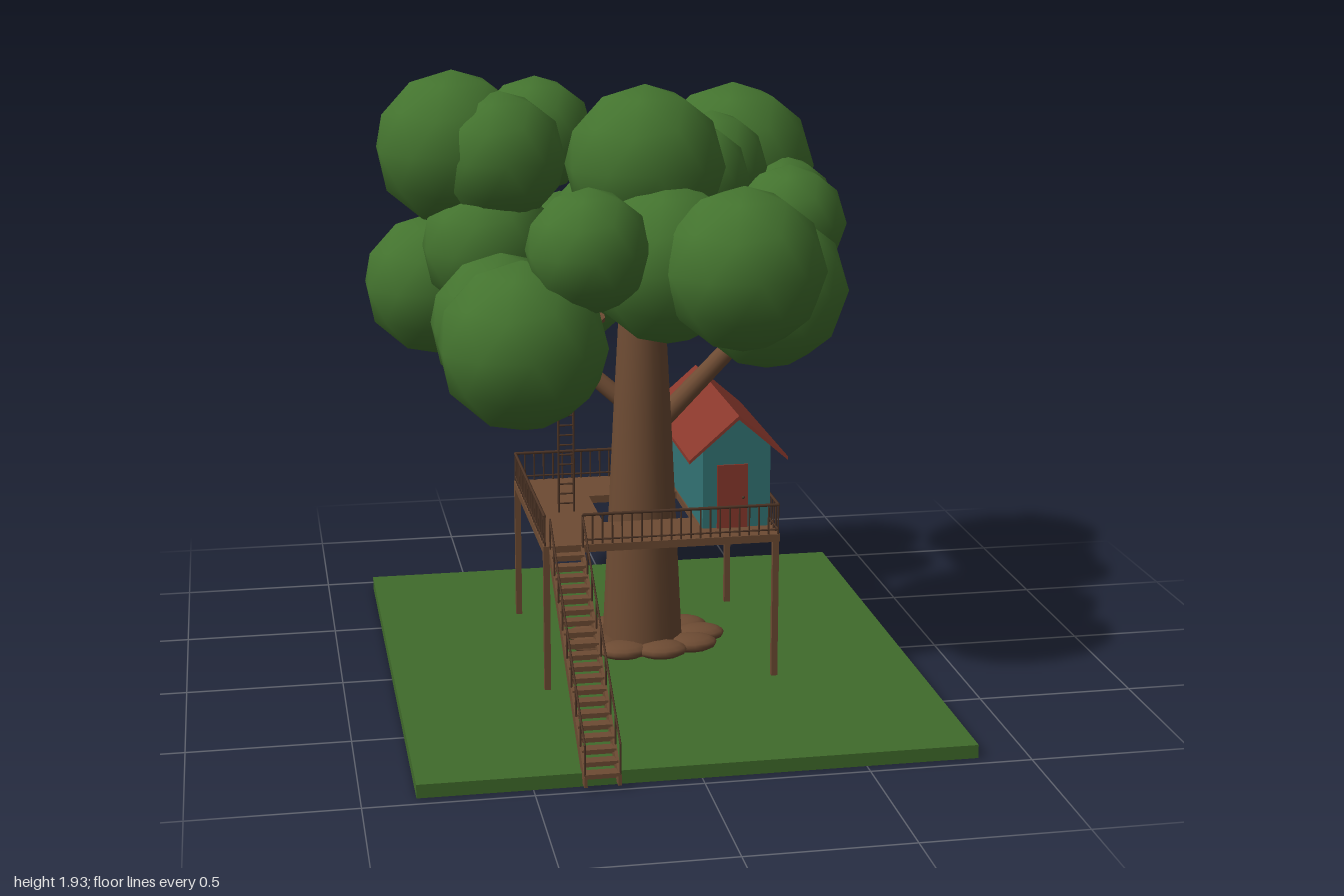
import * as THREE from 'three';

export function createModel() {
  const model = new THREE.Group();
  model.name = 'treehouse';

  const mat = (name, color, side = THREE.FrontSide) => {
    const m = new THREE.MeshStandardMaterial({ color, side });
    m.name = name;
    return m;
  };
  const leaf = mat('leaf green', 0x44742f);
  const grass = mat('grass green', 0x406b2b);
  const wood = mat('bark brown', 0x6d4b33);
  const darkWood = mat('dark wood', 0x4e3526);
  const teal = mat('teal paint', 0x337475);
  const red = mat('red paint', 0x8a382c);
  const glass = mat('pale glass', 0xabc2ce);

  const group = (name) => {
    const g = new THREE.Group();
    g.name = name;
    model.add(g);
    return g;
  };
  const add = (parent, name, geo, material, x = 0, y = 0, z = 0) => {
    const m = new THREE.Mesh(geo, material);
    m.name = name;
    m.position.set(x, y, z);
    parent.add(m);
    return m;
  };
  // Box given by its minimum and maximum corners
  const box = (parent, name, material, x0, x1, y0, y1, z0, z1) =>
    add(parent, name, new THREE.BoxGeometry(x1 - x0, y1 - y0, z1 - z0), material,
      (x0 + x1) / 2, (y0 + y1) / 2, (z0 + z1) / 2);
  // Round bar between two points
  const bar = (parent, name, material, a, b, r0, r1 = r0, sides = 6) => {
    const p = new THREE.Vector3(...a), q = new THREE.Vector3(...b);
    const d = q.clone().sub(p);
    const m = add(parent, name, new THREE.CylinderGeometry(r1, r0, d.length(), sides), material);
    m.position.copy(p).add(q).multiplyScalar(0.5);
    m.quaternion.setFromUnitVectors(new THREE.Vector3(0, 1, 0), d.normalize());
    return m;
  };

  // Ground slab
  box(model, 'ground', grass, -0.84, 0.845, 0, 0.042, -0.935, 0.96);

  // Trunk with a rounded top
  const trunkZ = -0.085;
  const profile = [[0.135, 0.04], [0.115, 0.45], [0.095, 0.85], [0.077, 1.17],
    [0.06, 1.22], [0.03, 1.245], [0, 1.25]].map(([r, y]) => new THREE.Vector2(r, y));
  add(model, 'trunk', new THREE.LatheGeometry(profile, 20), wood, 0.005, 0, trunkZ);

  // Roots round the base
  const roots = group('roots');
  for (let i = 0; i < 9; i++) {
    const a = (i / 9) * Math.PI * 2;
    const root = add(roots, 'root', new THREE.SphereGeometry(1, 12, 8), wood,
      0.015 + 0.185 * Math.cos(a), 0.067, trunkZ + 0.14 * Math.sin(a));
    root.scale.set(0.085, 0.028, 0.065);
  }

  // Branches
  const branches = group('branches');
  const limb = (points, r) => {
    for (let i = 0; i + 1 < points.length; i++) {
      bar(branches, 'branch', wood, points[i], points[i + 1], r, r * 0.88, 12);
      add(branches, 'branchJoint', new THREE.SphereGeometry(r, 12, 8), wood, ...points[i + 1]);
    }
  };
  limb([[0.05, 0.78, -0.12], [0.35, 1.03, -0.24], [0.6, 1.24, -0.35]], 0.035);
  limb([[-0.02, 0.85, -0.1], [-0.22, 1.02, -0.17], [-0.42, 1.17, -0.22]], 0.03);

  // Foliage: x, y, z, radius
  const foliage = group('foliage');
  [
    [-0.555, 1.66, -0.56, 0.26], [-0.41, 1.64, -0.45, 0.22], [-0.26, 1.68, -0.69, 0.2],
    [0, 1.67, -0.005, 0.255], [0.42, 1.57, -0.64, 0.28], [0.3, 1.6, -0.41, 0.185],
    [0.19, 1.6, -0.16, 0.18], [0.55, 1.45, -0.43, 0.175], [0.53, 1.43, -0.25, 0.19],
    [0.39, 1.27, 0.045, 0.26], [0.24, 1.4, 0.37, 0.255], [0.04, 1.39, 0.18, 0.255],
    [-0.23, 1.46, 0.31, 0.195], [-0.43, 1.165, 0.275, 0.265], [-0.44, 1.13, -0.2, 0.235],
    [-0.61, 1.17, -0.72, 0.245], [-0.17, 1.2, -0.73, 0.275], [-0.06, 1.4, -0.48, 0.185],
    [-0.45, 1.34, -0.46, 0.225],
  ].forEach(([x, y, z, r]) => {
    const geo = new THREE.IcosahedronGeometry(r * 1.01, 1);
    geo.rotateZ(Math.atan(2 / (1 + Math.sqrt(5))));
    add(foliage, 'leafCluster', geo, leaf, x, y, z);
  });

  // Deck with an opening for the trunk
  const deck = group('deck');
  const X0 = -0.375, X1 = 0.385, Z0 = -0.465, Z1 = 0.29, Y = 0.52;
  const h = 0.15;
  box(deck, 'floorFront', wood, X0, X1, 0.495, Y, trunkZ + h, Z1);
  box(deck, 'floorBack', wood, X0, X1, 0.495, Y, Z0, trunkZ - h);
  box(deck, 'floorLeft', wood, h, X1, 0.495, Y, trunkZ - h, trunkZ + h);
  box(deck, 'floorRight', wood, X0, -h, 0.495, Y, trunkZ - h, trunkZ + h);
  for (const x of [X0 + 0.01, X1 - 0.012])
    for (const z of [Z0 + 0.011, Z1 - 0.011])
      box(deck, 'post', wood, x - 0.01, x + 0.01, 0.03, 0.5, z - 0.01, z + 0.01);

  // Railings
  const railings = group('railings');
  const railing = (x0, z0, x1, z1) => {
    const len = Math.hypot(x1 - x0, z1 - z0), n = Math.round(len / 0.032);
    bar(railings, 'handrail', darkWood, [x0, 0.617, z0], [x1, 0.617, z1], 0.005);
    bar(railings, 'lowerRail', darkWood, [x0, 0.535, z0], [x1, 0.535, z1], 0.003);
    for (let i = 0; i <= n; i++) {
      const x = x0 + (x1 - x0) * i / n, z = z0 + (z1 - z0) * i / n;
      bar(railings, 'baluster', darkWood, [x, Y, z], [x, 0.617, z], 0.003, 0.003, 4);
    }
  };
  railing(-0.25, Z1 - 0.005, X1 - 0.005, Z1 - 0.005);
  railing(X1 - 0.005, Z1 - 0.005, X1 - 0.005, Z0 + 0.005);
  railing(X0 + 0.005, Z1 - 0.005, X0 + 0.005, Z0 + 0.005);
  railing(X0 + 0.005, Z0 + 0.005, 0.15, Z0 + 0.005);

  // Staircase: sloping stringers, treads and handrails
  const stairs = group('stairs');
  const sx0 = -0.357, sx1 = -0.247;
  const slopeY = (z) => 0.5 - (z - Z1) * 0.47 / 0.71;
  const side = new THREE.Shape([[Z1, 0.515], [1, 0.045], [1, 0.012], [0.97, 0.012], [Z1, 0.47]]
    .map(([z, y]) => new THREE.Vector2(-z, y)));
  for (const x of [sx0, sx1 - 0.01]) {
    const geo = new THREE.ExtrudeGeometry(side, { depth: 0.01, bevelEnabled: false });
    geo.rotateY(Math.PI / 2);
    add(stairs, 'stringer', geo, wood, x);
  }
  const steps = 20;
  for (let i = 0; i < steps; i++) {
    const z = Z1 + (i + 0.5) * 0.71 / steps, y = slopeY(z);
    box(stairs, 'tread', wood, sx0 + 0.004, sx1 - 0.004, y, y + 0.01, z - 0.02, z + 0.018);
    box(stairs, 'riser', wood, sx0 + 0.004, sx1 - 0.004, y - 0.018, y, z - 0.02, z - 0.014);
  }
  for (const x of [sx0 + 0.003, sx1 - 0.003]) {
    bar(stairs, 'stairRail', darkWood, [x, 0.61, Z1], [x, 0.14, 0.997], 0.0035);
    for (let i = 0; i <= 8; i++) {
      const z = Z1 + 0.003 + i * 0.088;
      bar(stairs, 'stairBaluster', darkWood, [x, slopeY(z), z], [x, slopeY(z) + 0.11, z], 0.003, 0.003, 4);
    }
  }

  // Lookout disc and its ladder
  const lookout = group('lookout');
  add(lookout, 'lookoutFloor', new THREE.CylinderGeometry(0.18, 0.18, 0.012, 24), wood, -0.275, 1.137, -0.23);
  for (const x of [-0.275, -0.225])
    bar(lookout, 'ladderRail', darkWood, [x, Y, -0.07], [x, 1.14, -0.07], 0.004);
  for (let y = 0.55; y < 1.13; y += 0.033)
    bar(lookout, 'rung', darkWood, [-0.275, y, -0.07], [-0.225, y, -0.07], 0.003);

  // House body with gable ends
  const house = group('house');
  const cx = 0.264, hw = 0.11, hz0 = -0.455, hz1 = 0.19;
  const gable = new THREE.Shape([[-hw, Y], [hw, Y], [hw, 0.787], [0, 0.882], [-hw, 0.787]]
    .map(([x, y]) => new THREE.Vector2(x, y)));
  add(house, 'walls', new THREE.ExtrudeGeometry(gable, { depth: hz1 - hz0, bevelEnabled: false }), teal, cx, 0, hz0);

  // Roof slopes
  const roof = new THREE.Shape([[-0.16, 0.745], [0, 0.884], [0.16, 0.745], [0.16, 0.757], [0, 0.897], [-0.16, 0.757]]
    .map(([x, y]) => new THREE.Vector2(x, y)));
  add(house, 'roof', new THREE.ExtrudeGeometry(roof, { depth: 0.707, bevelEnabled: false }), red, cx, 0, -0.487);

  // Door
  box(house, 'door', red, 0.2, 0.3, Y, 0.73, hz1, hz1 + 0.006);
  add(house, 'doorKnob', new THREE.SphereGeometry(0.005, 8, 6), darkWood, 0.285, 0.62, hz1 + 0.008);

  // Side window with a centre bar
  const wx = cx + hw;
  box(house, 'sideWindow', glass, wx, wx + 0.004, 0.628, 0.71, -0.165, -0.005);
  box(house, 'sideWindowBar', red, wx, wx + 0.007, 0.628, 0.71, -0.088, -0.082);

  // Back window with a cross
  box(house, 'backWindow', glass, cx - 0.05, cx + 0.05, 0.635, 0.735, hz0 - 0.004, hz0);
  box(house, 'backWindowBar', red, cx - 0.003, cx + 0.003, 0.635, 0.735, hz0 - 0.007, hz0);
  box(house, 'backWindowBar', red, cx - 0.05, cx + 0.05, 0.682, 0.688, hz0 - 0.007, hz0);

  return model;
}
